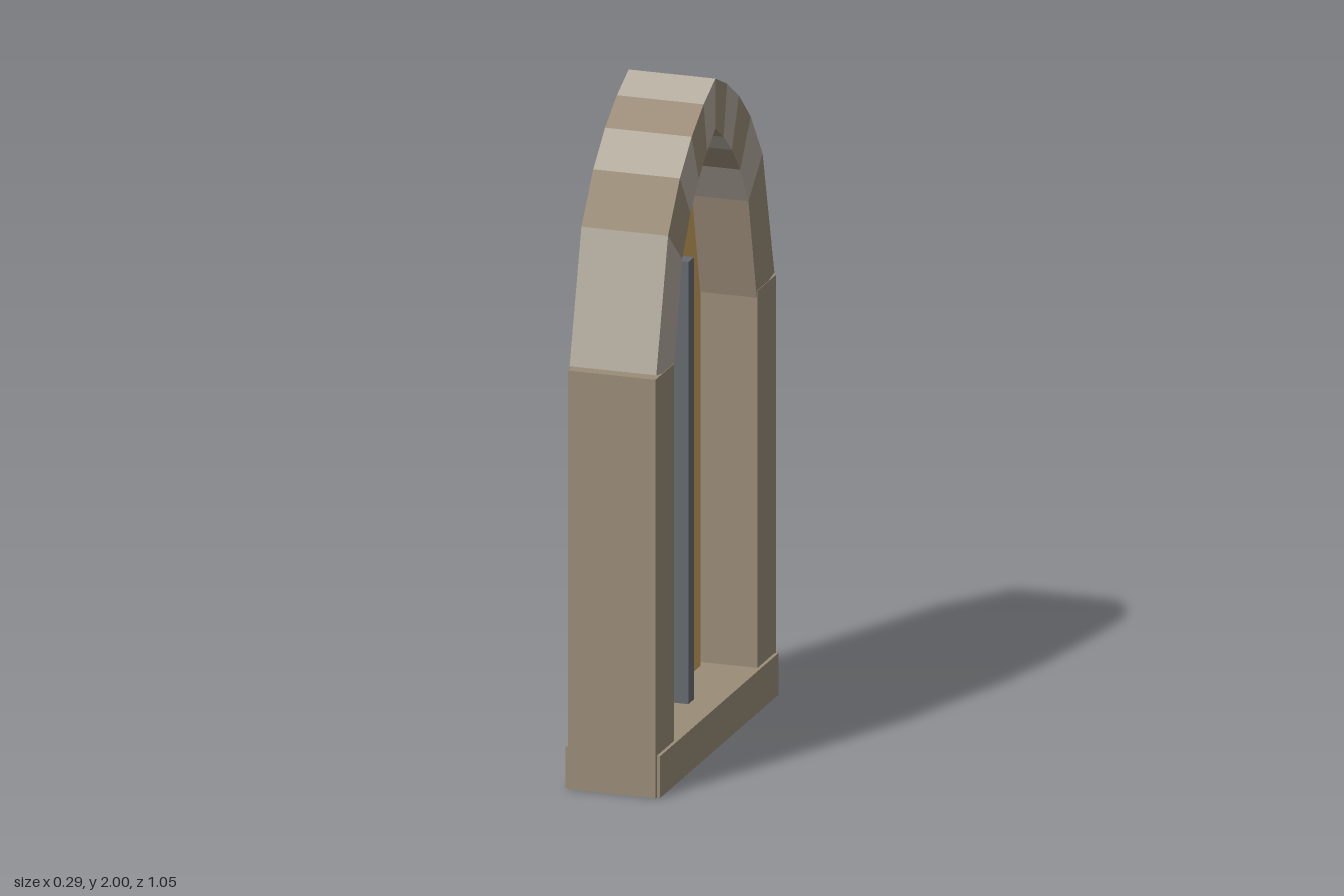
import * as THREE from 'three';

const SEGMENTS = 5; // arch blocks on each side

const material = (name, color) => {
  const m = new THREE.MeshStandardMaterial({ color });
  m.name = name;
  return m;
};

// Half of a pointed arch from springing (halfWidth, base) to apex (0, apex), even steps in z
function archPoints(halfWidth, base, apex) {
  const h = apex - base;
  const c = (h * h - halfWidth * halfWidth) / (2 * halfWidth);
  const r = halfWidth + c;
  return Array.from({ length: SEGMENTS + 1 }, (_, i) => {
    const z = halfWidth * (1 - i / SEGMENTS);
    return new THREE.Vector2(z, base + Math.sqrt(Math.max(0, r * r - (z + c) ** 2)));
  });
}

// Extrude a (z, y) outline along x, between x0 and x1
function slab(points, x0, x1) {
  const geo = new THREE.ExtrudeGeometry(new THREE.Shape(points), { depth: x1 - x0, bevelEnabled: false });
  geo.rotateY(-Math.PI / 2);
  geo.translate(x1, 0, 0);
  return geo;
}

const mirror = (points) => points.map((p) => new THREE.Vector2(-p.x, p.y));

export function createModel() {
  const group = new THREE.Group();
  group.name = 'archedWindow';

  const stone = material('brown stone', 0x9a8c78);
  const paleStone = material('pale stone', 0xb3ab9e);
  const glass = material('amber glass', 0xc8a35e);
  const iron = material('grey iron', 0x666a70);

  const add = (name, geo, mat) => {
    const mesh = new THREE.Mesh(geo, mat);
    mesh.name = name;
    group.add(mesh);
    return mesh;
  };
  const box = (name, size, pos, mat) =>
    add(name, new THREE.BoxGeometry(...size), mat).position.set(...pos);

  // Sill and two jambs
  box('sill', [0.286, 0.125, 1.026], [0, 0.0625, 0], stone);
  for (const s of [1, -1]) {
    box(s > 0 ? 'frontJamb' : 'backJamb', [0.265, 1.255, 0.161], [0, 0.6275, s * 0.4425], stone);
  }

  // Arch blocks, alternating colours all the way round
  const outer = archPoints(0.513, 1.265, 2);
  const inner = archPoints(0.36, 1.235, 1.85);
  for (let i = 0; i < SEGMENTS; i++) {
    const block = [outer[i], outer[i + 1], inner[i + 1], inner[i]];
    const even = i % 2 === 0;
    add('frontArchBlock' + (i + 1), slab(block, -0.131, 0.131), even ? paleStone : stone);
    add('backArchBlock' + (i + 1), slab(mirror(block), -0.131, 0.131), even ? stone : paleStone);
  }

  // Pointed glass pane
  const half = archPoints(0.328, 1.237, 1.8);
  const pane = [
    new THREE.Vector2(-0.328, 0.12),
    new THREE.Vector2(0.328, 0.12),
    ...half,
    ...mirror(half).reverse().slice(1),
  ];
  add('pane', slab(pane, -0.055, -0.028), glass);

  // Upright bar in front of the pane
  box('mullion', [0.052, 1.33, 0.049], [0.032, 0.785, 0], iron);

  return group;
}
